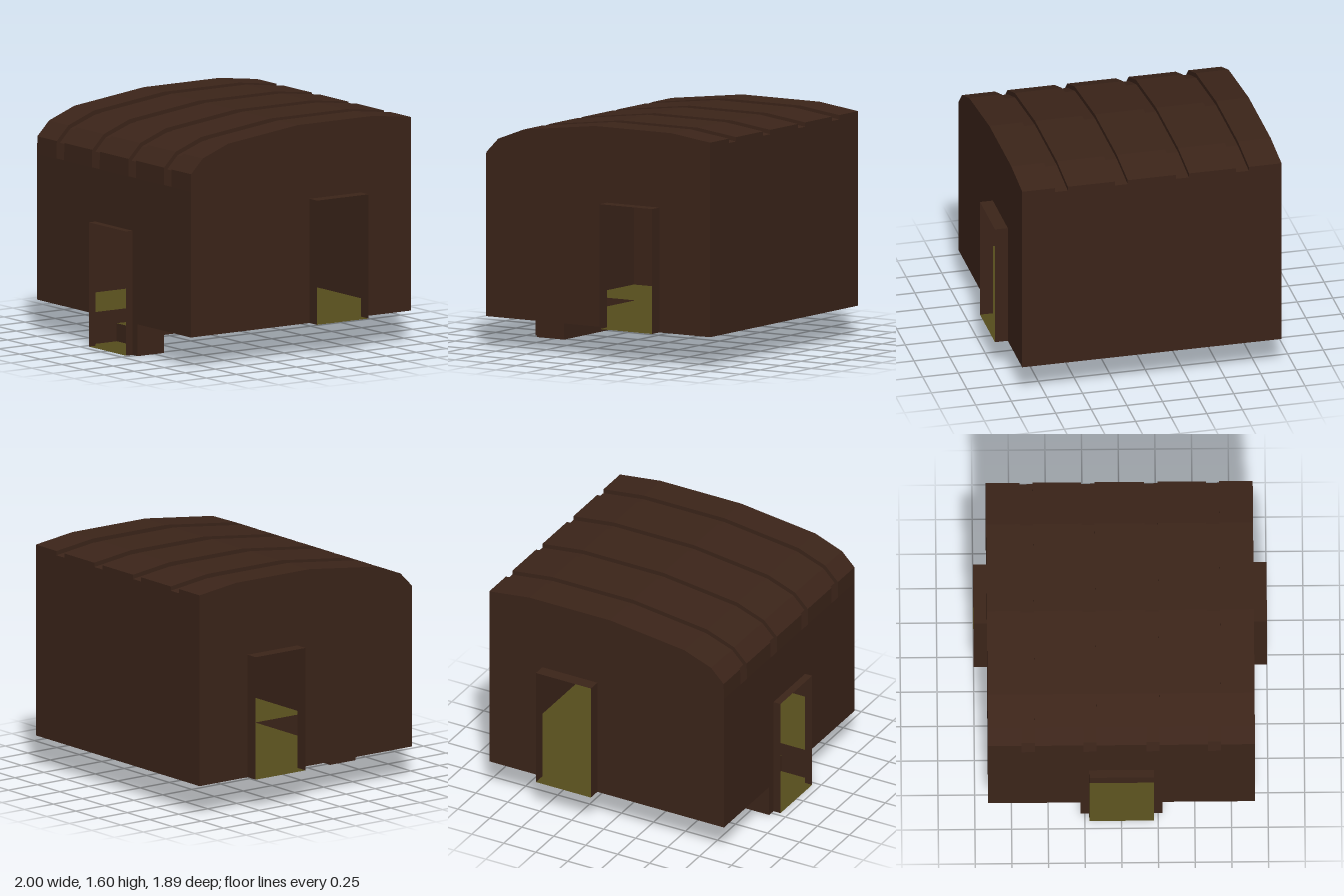
import * as THREE from 'three';

const brown = new THREE.MeshStandardMaterial({ color: 0x3b2419, flatShading: true, side: THREE.DoubleSide });
const olive = new THREE.MeshStandardMaterial({ color: 0x554c1c, flatShading: true, side: THREE.DoubleSide });

// Main dimensions
const W = 0.91, FRONT = 0.89, BACK = -0.945, FLOOR = 0.22;
const DOOR = { w: 0.22, top: 0.86, out: 0.945 };
const SIDE = { z0: -0.53, z1: -0.10, top: 1.08, out: 1.0 };
const WELL = { w: 0.28, mid: 0.67, back: 0.46, step: 0.125 };

// Roof and groove sections as [z, y], front to back
const ROOF = [[0.89, 1.23], [0.888, 1.35], [0.79, 1.45], [0.58, 1.53], [0, 1.6], [-0.63, 1.6], [BACK, 1.56]];
const GROOVE = [[0.89, 1.23], [0.862, 1.335], [0.775, 1.425], [0.57, 1.5], [0, 1.57], [-0.63, 1.57], [BACK, 1.53]];
const GROOVES = [[-0.68, -0.59], [-0.26, -0.17], [0.17, 0.26], [0.59, 0.68]];

const outline = (pts) => new THREE.Shape(pts.map(([a, b]) => new THREE.Vector2(a, b)));
const rect = (a0, b0, a1, b1) => [[a0, b0], [a1, b0], [a1, b1], [a0, b1]];

// Flat sheets facing along z, x and y
const sheetZ = (pts, z) => new THREE.ShapeGeometry(outline(pts)).translate(0, 0, z);
const sheetX = (pts, x) => new THREE.ShapeGeometry(outline(pts)).rotateY(-Math.PI / 2).translate(x, 0, 0);
const sheetY = (pts, y) => new THREE.ShapeGeometry(outline(pts)).rotateX(Math.PI / 2).translate(0, y, 0);

// Strip sweeping a [z, y] section across x0..x1
function strip(section, x0, x1) {
  const pos = [];
  for (let i = 0; i < section.length - 1; i++) {
    const [z0, y0] = section[i], [z1, y1] = section[i + 1];
    pos.push(x0, y0, z0, x1, y0, z0, x1, y1, z1, x0, y0, z0, x1, y1, z1, x0, y1, z1);
  }
  const g = new THREE.BufferGeometry();
  g.setAttribute('position', new THREE.Float32BufferAttribute(pos, 3));
  g.computeVertexNormals();
  return g;
}

export function createModel() {
  const model = new THREE.Group();
  model.name = 'cabin';
  const add = (parent, name, geometry, material = brown) => {
    const mesh = new THREE.Mesh(geometry, material);
    mesh.name = name;
    parent.add(mesh);
  };
  const group = (name) => {
    const g = new THREE.Group();
    g.name = name;
    model.add(g);
    return g;
  };

  // Roof panels with recessed grooves between them
  const roof = group('roof');
  let x = -W;
  const cheek = [...ROOF, ...GROOVE.slice(1).reverse()];
  for (const [a, b] of GROOVES) {
    add(roof, 'roofPanel', strip(ROOF, x, a));
    add(roof, 'roofGroove', strip(GROOVE, a, b));
    for (const edge of [a, b]) add(roof, 'grooveCheek', sheetX(cheek, edge));
    x = b;
  }
  add(roof, 'roofPanel', strip(ROOF, x, W));

  // Front wall, open at the door and dropping down around the steps
  const walls = group('walls');
  add(walls, 'frontWall', sheetZ([
    [-W, FLOOR], [-WELL.w, FLOOR], [-WELL.w, 0], [-DOOR.w, 0], [-DOOR.w, DOOR.top],
    [DOOR.w, DOOR.top], [DOOR.w, 0], [WELL.w, 0], [WELL.w, FLOOR], [W, FLOOR], [W, 1.23], [-W, 1.23],
  ], FRONT));

  // Back wall with notches where the grooves run out
  const top = [[-W, 1.56]];
  for (const [a, b] of GROOVES) top.push([a, 1.56], [a, 1.53], [b, 1.53], [b, 1.56]);
  add(walls, 'backWall', sheetZ([...top, [W, 1.56], [W, FLOOR], [-W, FLOOR]], BACK));

  // Side walls and their projecting door frames
  const sideWall = [
    [FRONT, FLOOR], ...ROOF, [BACK, FLOOR],
    [SIDE.z0, FLOOR], [SIDE.z0, SIDE.top], [SIDE.z1, SIDE.top], [SIDE.z1, FLOOR],
  ];
  for (const s of [-1, 1]) {
    add(walls, 'sideWall', sheetX(sideWall, s * W));
    const frame = group('sideDoorFrame');
    for (const z of [SIDE.z0, SIDE.z1])
      add(frame, 'sideDoorJamb', sheetZ(rect(s * W, FLOOR, s * SIDE.out, SIDE.top), z));
    const plan = rect(s * W, SIDE.z0, s * SIDE.out, SIDE.z1);
    add(frame, 'sideDoorLintel', sheetY(plan, SIDE.top));
    add(frame, 'sideDoorSill', sheetY(plan, FLOOR), olive);
  }

  // Front door frame
  const frontFrame = group('frontDoorFrame');
  for (const s of [-1, 1])
    add(frontFrame, 'frontDoorJamb', sheetX(rect(FRONT, 0, DOOR.out, DOOR.top), s * DOOR.w));
  const porch = rect(-DOOR.w, FRONT, DOOR.w, DOOR.out);
  add(frontFrame, 'frontDoorLintel', sheetY(porch, DOOR.top));
  add(frontFrame, 'frontDoorSill', sheetY(porch, 0), olive);

  // Floor, cut away over the steps
  add(model, 'floor', sheetY([
    [-W, BACK], [W, BACK], [W, FRONT], [WELL.w, FRONT], [WELL.w, WELL.back],
    [-WELL.w, WELL.back], [-WELL.w, FRONT], [-W, FRONT],
  ], FLOOR), olive);

  // Sunken entrance steps
  const steps = group('entranceSteps');
  add(steps, 'lowerTread', sheetY(rect(-WELL.w, WELL.mid, WELL.w, FRONT), 0), olive);
  add(steps, 'upperTread', sheetY(rect(-WELL.w, WELL.back, WELL.w, WELL.mid), WELL.step), olive);
  add(steps, 'lowerRiser', sheetZ(rect(-WELL.w, 0, WELL.w, WELL.step), WELL.mid));
  add(steps, 'upperRiser', sheetZ(rect(-WELL.w, WELL.step, WELL.w, FLOOR), WELL.back));
  for (const s of [-1, 1])
    add(steps, 'stepSide', sheetX([
      [FRONT, 0], [WELL.mid, 0], [WELL.mid, WELL.step], [WELL.back, WELL.step], [WELL.back, FLOOR], [FRONT, FLOOR],
    ], s * WELL.w));

  return model;
}
